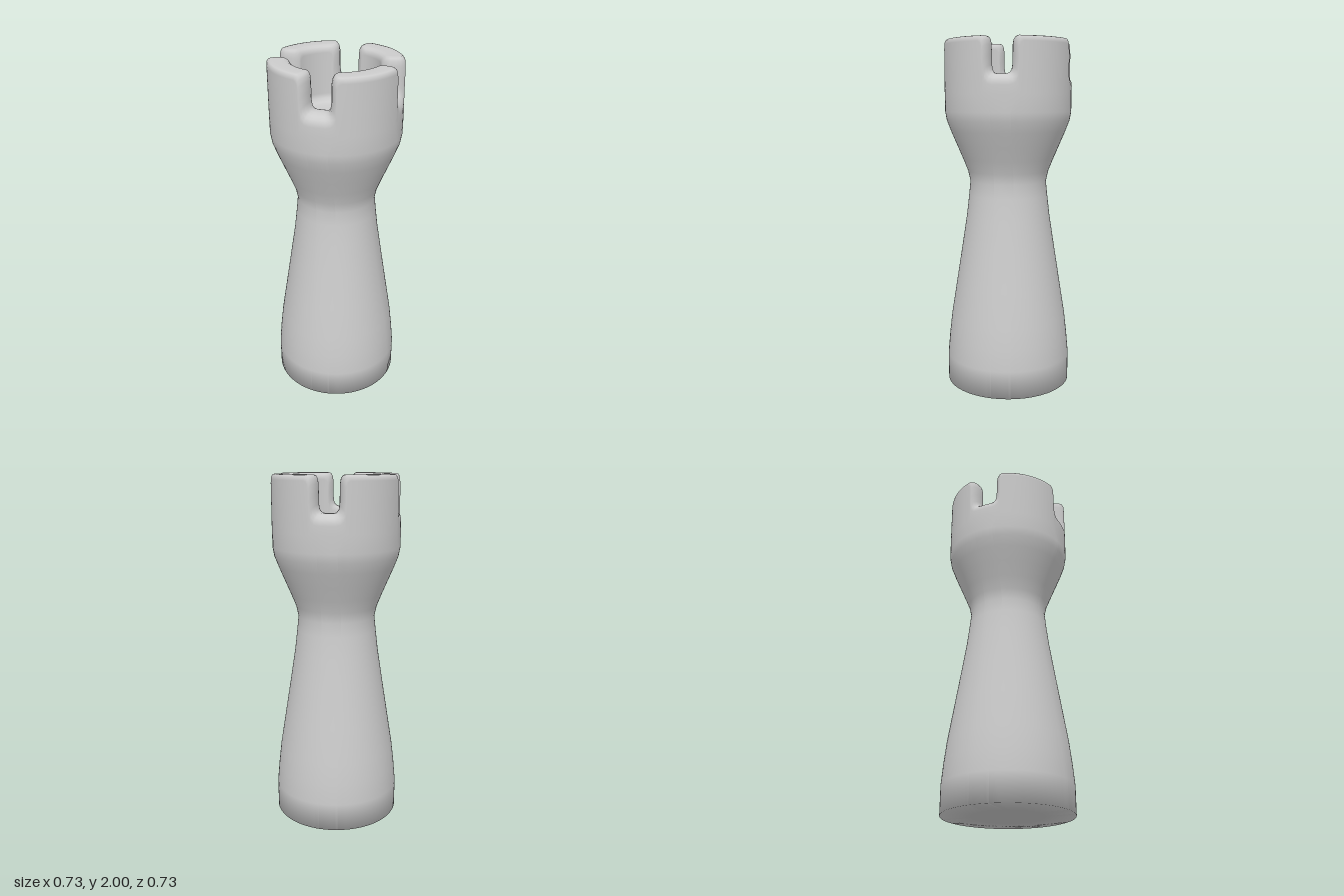
import * as THREE from 'three';

const NECK_FLOOR = 1.68; // floor of the cup inside the battlements

// Solid outside of the tower, bottom centre to shoulder: [radius, y]
const bodyProfile = [
  [0, 0], [0.2, 0], [0.363, 0], [0.363, 0.16], [0.352, 0.28], [0.338, 0.4], [0.306, 0.6],
  [0.274, 0.8], [0.243, 1.0], [0.229, 1.12], [0.221, 1.2], [0.234, 1.26], [0.262, 1.33],
  [0.296, 1.41], [0.33, 1.49], [0.353, 1.55], [0.362, 1.6], [0.363, 1.7],
];
// Rounded rim, outside to inside: [radius, drop on merlon, drop in notch, notch flare]
const rimProfile = [
  [0.363, 0.03, 0.06, 0.85], [0.36, 0.012, 0.04, 0.75], [0.351, 0.003, 0.024, 0.55],
  [0.335, 0, 0.01, 0.3], [0.31, 0, 0, 0.1], [0.28, 0, 0, 0], [0.262, 0.002, 0, 0.05],
  [0.248, 0.01, 0.004, 0.2], [0.24, 0.022, 0.012, 0.35], [0.236, 0.04, 0.03, 0.45],
];
// Inside of the cup: [radius, y]
const cupProfile = [
  [0.235, NECK_FLOOR + 0.05], [0.228, NECK_FLOOR + 0.025], [0.21, NECK_FLOOR + 0.008],
  [0.17, NECK_FLOOR], [0.09, NECK_FLOOR], [0, NECK_FLOOR],
];

// Columns from the middle of a notch to its lip: [distance from notch axis, rim height]
const notchColumns = [
  [0, 1.805], [0.025, 1.805], [0.04, 1.81], [0.05, 1.825], [0.054, 1.85],
  [0.055, 1.9], [0.056, 1.955], [0.06, 1.98], [0.068, 1.994], [0.08, 2.0],
];
const half = notchColumns.map(([d, h]) => ({ d, h, t: 0 }));
const lip = half[half.length - 1];
for (let i = 1; i <= 7; i++) half.push({ d: lip.d, h: 2, t: i / 7 });

// Mirror to a quarter, repeat four times
const columns = [];
for (let q = 0; q < 4; q++) {
  const axis = Math.PI / 4 + (q * Math.PI) / 2;
  for (let i = half.length - 2; i > 0; i--) columns.push({ ...half[i], axis, side: -1 });
  for (const c of half) columns.push({ ...c, axis, side: 1 });
}

// Notch walls run parallel to the notch axis; merlon columns fan out evenly
function columnAngle(c, r, flare) {
  const d = c.d + flare * 0.05 * Math.min(1, c.d / 0.055);
  const edge = Math.asin(d / Math.max(r, 0.2));
  return c.axis + c.side * THREE.MathUtils.lerp(edge, Math.PI / 4, c.t);
}

function buildTower() {
  const rows = [
    ...bodyProfile.map(([r, y]) => ({ r, flare: r > 0.36 && y > 1.65 ? 0.85 : 0, y: () => y })),
    ...rimProfile.map(([r, drop, notchDrop, flare]) => ({
      r, flare,
      y: (c) => c.h - THREE.MathUtils.lerp(notchDrop, drop, (c.h - 1.805) / 0.195),
    })),
    ...cupProfile.map(([r, y], i) => ({ r, flare: i === 0 ? 0.4 : 0, y: () => y })),
  ];
  const positions = [];
  for (const row of rows) {
    for (const c of columns) {
      const a = columnAngle(c, row.r, row.flare);
      positions.push(row.r * Math.cos(a), row.y(c), row.r * Math.sin(a));
    }
  }
  const n = columns.length;
  const index = [];
  for (let i = 0; i < rows.length - 1; i++) {
    for (let j = 0; j < n; j++) {
      const k = (j + 1) % n;
      const a = i * n + j, b = i * n + k, c = a + n, d = b + n;
      if (rows[i + 1].r > 0) index.push(a, c, d);
      if (rows[i].r > 0) index.push(a, d, b);
      if (rows[i + 1].r === 0) index.push(a, c, b).valueOf();
    }
  }
  // The last ring closes on a single point, so drop its doubled triangles
  const clean = [];
  const p = (v, out) => out.fromArray(positions, v * 3);
  const tri = new THREE.Triangle();
  for (let i = 0; i < index.length; i += 3) {
    p(index[i], tri.a); p(index[i + 1], tri.b); p(index[i + 2], tri.c);
    const lastRing = index[i] >= (rows.length - 2) * n;
    if (tri.getArea() > 1e-10 && !(lastRing && index[i + 1] % n !== index[i] % n)) {
      clean.push(index[i], index[i + 1], index[i + 2]);
    }
  }
  const geometry = new THREE.BufferGeometry();
  geometry.setAttribute('position', new THREE.Float32BufferAttribute(positions, 3));
  geometry.setIndex(clean);
  geometry.computeVertexNormals();
  // Centre points of base and cup floor
  const normals = geometry.attributes.normal;
  for (let j = 0; j < n; j++) {
    normals.setXYZ(j, 0, -1, 0);
    normals.setXYZ((rows.length - 1) * n + j, 0, 1, 0);
  }
  return geometry;
}

export function createModel() {
  const group = new THREE.Group();
  group.name = 'rook';
  const tower = new THREE.Mesh(buildTower(), new THREE.MeshStandardMaterial({ color: 0xcccccc }));
  tower.name = 'towerWithBattlements';
  group.add(tower);
  return group;
}
